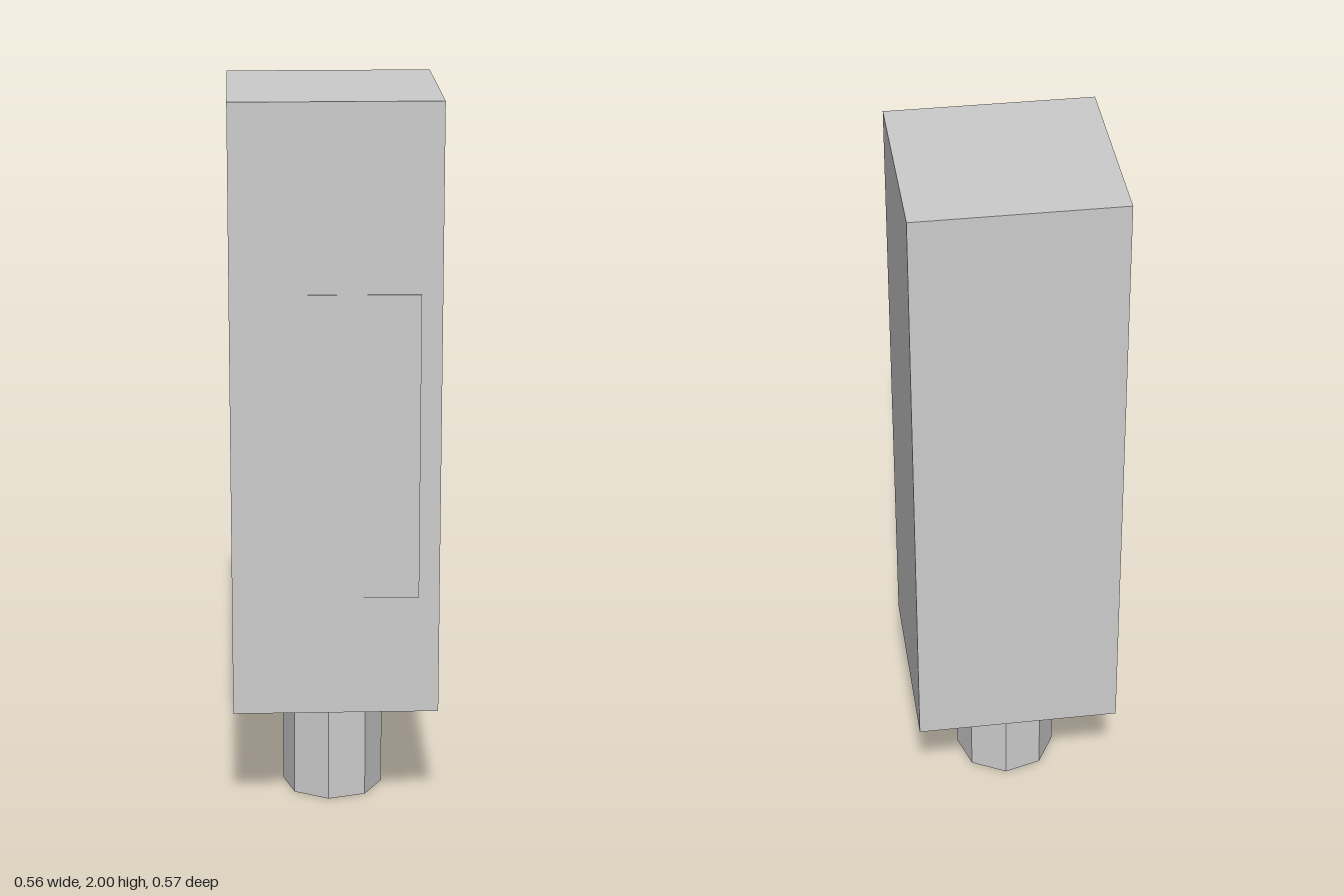
import * as THREE from 'three';

export function createModel() {
  const model = new THREE.Group();
  const grey = new THREE.MeshStandardMaterial({ color: 0xcccccc, flatShading: true, side: THREE.DoubleSide });
  grey.name = 'light grey';

  function add(name, geometry, x, y, z) {
    const mesh = new THREE.Mesh(geometry, grey);
    mesh.name = name;
    mesh.position.set(x, y, z);
    model.add(mesh);
    return mesh;
  }

  // Tall square block
  add('body', new THREE.BoxGeometry(0.562, 1.68, 0.562), 0, 1.16, -0.003);

  // Eight-sided stem, an open tube at the bottom
  const turn = THREE.MathUtils.degToRad(-6.1);
  add('stem', new THREE.CylinderGeometry(0.141, 0.141, 0.32, 8, 1, true, turn), 0, 0.16, -0.003);

  // Thin front panel, turned slightly so its left edge stands proud
  const panel = add('frontPanel', new THREE.BoxGeometry(0.45, 0.84, 0.008), 0, 1.073, 0.2768);
  panel.rotation.y = -0.0125;

  return model;
}
